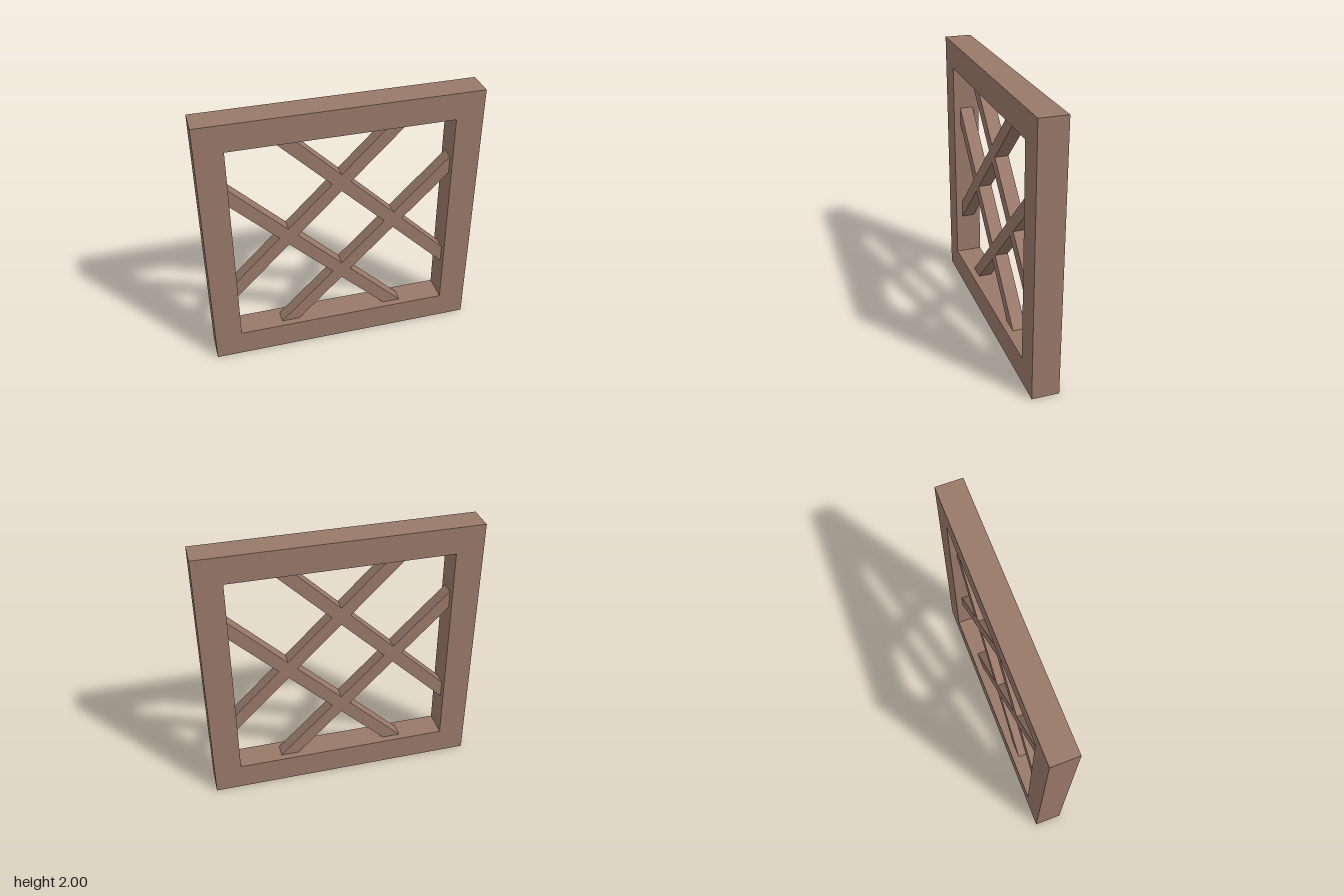
import * as THREE from 'three';

const OUTER = 1;      // half size of the frame
const INNER = 0.8;    // half size of the opening
const NEAR = 0.325;   // slat edges, as offsets of the 45 degree lines
const FAR = 0.46;

// Extrudes a shape, centred on z = 0
function plate(name, shape, depth, material) {
  const geometry = new THREE.ExtrudeGeometry(shape, { depth, bevelEnabled: false });
  geometry.translate(0, 0, -depth / 2);
  const mesh = new THREE.Mesh(geometry, material);
  mesh.name = name;
  return mesh;
}

function polygon(points) {
  return new THREE.Shape(points.map(([x, y]) => new THREE.Vector2(x, y)));
}

function square(h) {
  return [[-h, -h], [h, -h], [h, h], [-h, h]];
}

export function createModel() {
  const wood = new THREE.MeshStandardMaterial({ color: 0x997969 });
  wood.name = 'brown wood';

  const model = new THREE.Group();
  model.name = 'latticeWindow';

  // Square frame with an open middle
  const frameShape = polygon(square(OUTER));
  frameShape.holes.push(new THREE.Path(square(INNER).map(([x, y]) => new THREE.Vector2(x, y))));
  model.add(plate('frame', frameShape, 0.2, wood));

  // Four diagonal slats, cut flush where they meet the frame
  const lattice = new THREE.Group();
  lattice.name = 'lattice';
  const slatShape = polygon([
    [-INNER, NEAR - INNER], [INNER - NEAR, INNER],
    [INNER - FAR, INNER], [-INNER, FAR - INNER],
  ]);
  for (let i = 0; i < 4; i++) {
    const slat = plate('slat', slatShape, 0.1, wood);
    slat.rotation.z = i * Math.PI / 2;
    lattice.add(slat);
  }
  model.add(lattice);

  // Stand the panel on the ground
  for (const part of model.children) part.position.y = OUTER;
  return model;
}
